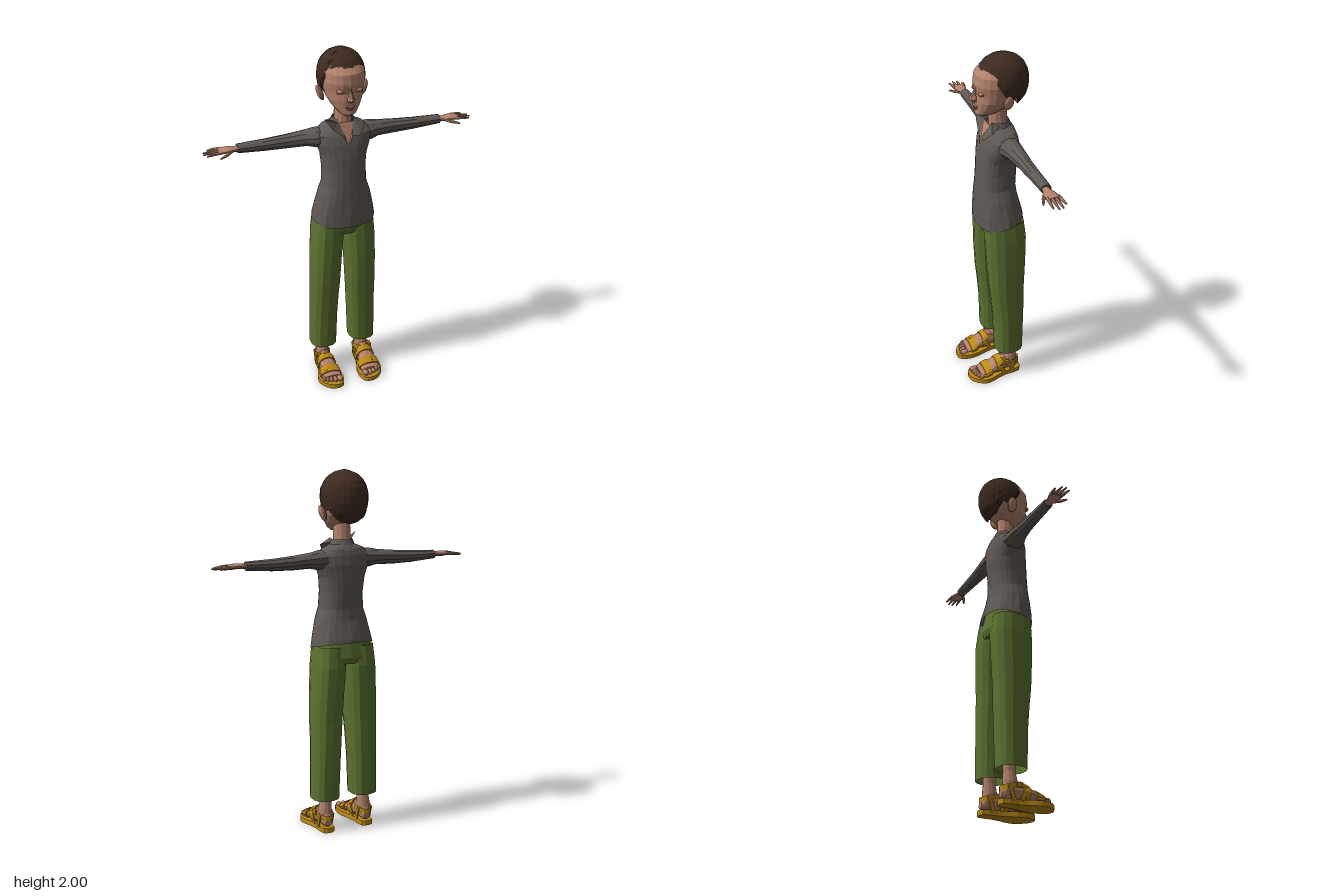
import * as THREE from 'three';

const mat = (name, color, side = THREE.FrontSide) => {
  const m = new THREE.MeshStandardMaterial({ color, side });
  m.name = name;
  return m;
};

// Faceted surface from a grid of points; zero-area triangles are dropped.
function grid(rows, cols, point) {
  const out = [], tri = new THREE.Triangle();
  const add = (a, b, c) => {
    if (tri.set(a, b, c).getArea() > 1e-9) for (const p of [a, b, c]) out.push(p.x, p.y, p.z);
  };
  for (let i = 0; i < rows; i++) for (let j = 0; j < cols; j++) {
    const a = point(i, j), b = point(i, j + 1), c = point(i + 1, j + 1), d = point(i + 1, j);
    add(a, b, c);
    add(a, c, d);
  }
  const g = new THREE.BufferGeometry();
  g.setAttribute('position', new THREE.Float32BufferAttribute(out, 3));
  g.computeVertexNormals();
  return g;
}

// Rounded cross-sections [t, centreU, centreV, radiusU, radiusV] along an axis.
// Axis y: u = z, v = x.  Axis x: u = y, v = z.  Axis z: u = x, v = y.
function loft(axis, sections, { sides = 12, power = 2, caps = true, tweak } = {}) {
  const s = [...sections];
  if (caps) {
    s.unshift([...s[0].slice(0, 3), 0, 0]);
    s.push([...s[s.length - 1].slice(0, 3), 0, 0]);
  }
  const bend = (v) => Math.sign(v) * Math.abs(v) ** (2 / power);
  return grid(s.length - 1, sides, (i, j) => {
    const [t, cu, cv, ru, rv] = s[i], a = ((j % sides) / sides) * Math.PI * 2;
    const u = cu + ru * bend(Math.cos(a)), v = cv + rv * bend(Math.sin(a));
    const p = axis === 'y' ? new THREE.Vector3(v, t, u)
      : axis === 'x' ? new THREE.Vector3(t, u, v) : new THREE.Vector3(u, v, t);
    if (tweak) tweak(p, a);
    return p;
  });
}

// Body section from front z, back z, centre x and half width.
const sec = (y, front, back, cx, rx) => [y, (front + back) / 2, cx, (front - back) / 2, rx];

// Linear lookup in rows sorted by their first number.
function lookup(rows, x) {
  let i = 0;
  while (i < rows.length - 2 && x > rows[i + 1][0]) i++;
  const a = rows[i], b = rows[i + 1], k = THREE.MathUtils.clamp((x - a[0]) / (b[0] - a[0]), 0, 1);
  return a.map((v, n) => v + (b[n] - v) * k);
}

const facet = (g) => {
  const f = g.index ? g.toNonIndexed() : g;
  f.computeVertexNormals();
  return f;
};

function mirrored(g) {
  const m = g.clone().scale(-1, 1, 1), p = m.attributes.position;
  for (let i = 0; i < p.count; i += 3) {
    const a = [p.getX(i), p.getY(i), p.getZ(i)];
    p.setXYZ(i, p.getX(i + 1), p.getY(i + 1), p.getZ(i + 1));
    p.setXYZ(i + 1, ...a);
  }
  m.computeVertexNormals();
  return m;
}

const blob = (x, y, z, rx, ry, rz, tilt = 0) =>
  facet(new THREE.SphereGeometry(1, 10, 7).scale(rx, ry, rz).rotateZ(tilt).translate(x, y, z));

// Fan of triangles through a few corner points.
const fan = (pts) => grid(pts.length - 2, 1, (i, j) =>
  new THREE.Vector3(...(i + j === 0 || j === 0 ? pts[0] : pts[i + 1])));

export function createModel() {
  const model = new THREE.Group();
  const skin = mat('skin', 0xb5836e, THREE.DoubleSide);
  const lip = mat('lip', 0x9e6a58);
  const hair = mat('hair', 0x3d2b20, THREE.DoubleSide);
  const cloth = mat('shirt cloth', 0x5f5954, THREE.DoubleSide);
  const green = mat('trouser cloth', 0x5b7230, THREE.DoubleSide);
  const leather = mat('sandal leather', 0xbd8a17, THREE.DoubleSide);

  const add = (name, g, m) => {
    const mesh = new THREE.Mesh(g, m);
    mesh.name = name;
    model.add(mesh);
  };
  const pair = (name, g, m) => {
    add(name + 'Left', g, m);
    add(name + 'Right', mirrored(g), m);
  };

  // Head and neck
  add('head', loft('y', [
    sec(1.672, 0.085, 0.02, 0, 0.022), sec(1.688, 0.102, -0.02, 0, 0.046),
    sec(1.72, 0.1, -0.07, 0, 0.073), sec(1.76, 0.102, -0.12, 0, 0.094),
    sec(1.8, 0.098, -0.14, 0, 0.104), sec(1.85, 0.106, -0.15, 0, 0.113),
    sec(1.9, 0.1, -0.15, 0, 0.109), sec(1.94, 0.064, -0.13, 0, 0.09),
    sec(1.97, 0, -0.1, 0, 0.04)], { sides: 20, power: 2.2 }), skin);
  add('neck', loft('y', [[1.56, -0.025, 0, 0.058, 0.058], [1.61, -0.023, 0, 0.051, 0.047],
    [1.72, -0.02, 0, 0.05, 0.045]]), skin);
  add('nose', loft('y', [[1.757, 0.1, 0, 0.012, 0.016], [1.771, 0.11, 0, 0.025, 0.021],
    [1.788, 0.108, 0, 0.018, 0.013], [1.815, 0.1, 0, 0.011, 0.009],
    [1.85, 0.1, 0, 0.006, 0.009]], { sides: 8 }), skin);
  add('upperLip', blob(0, 1.731, 0.1, 0.026, 0.006, 0.012), lip);
  add('lowerLip', blob(0, 1.72, 0.099, 0.021, 0.007, 0.012), lip);
  pair('eyelid', blob(0.048, 1.812, 0.085, 0.023, 0.013, 0.013), skin);
  pair('lashLine', blob(0.048, 1.806, 0.094, 0.021, 0.002, 0.005), lip);
  pair('ear', blob(0.119, 1.772, -0.035, 0.017, 0.045, 0.028, -0.35), skin);

  // Hair cap with a hairline that drops from the forehead to the nape
  const hairline = [[0, 1.93], [0.8, 1.915], [1.1, 1.86], [1.4, 1.79], [1.65, 1.78],
    [1.9, 1.8], [2.2, 1.73], [3.15, 1.715]];
  const swell = [[1.715, 0.5], [1.75, 0.78], [1.8, 0.95], [1.85, 1], [1.89, 0.97],
    [1.93, 0.87], [1.96, 0.7], [1.985, 0.43], [2, 0]];
  add('hair', grid(9, 24, (i, j) => {
    const a = (j / 24) * Math.PI * 2, turn = Math.min(a, Math.PI * 2 - a);
    const low = lookup(hairline, turn)[1];
    const y = i === 0 ? low + 0.004 : 2 - (2 - low) * (1 - (i - 1) / 8) ** 1.6;
    const r = lookup(swell, y)[1] * (i === 0 ? 0.88 : 1);
    return new THREE.Vector3(Math.sin(a) * r * 0.127, y,
      -0.052 + Math.cos(a) * r * (Math.cos(a) > 0 ? 0.146 : 0.136));
  }), hair);

  // Shirt body, with a pleated hem that rises towards the back
  add('shirtBody', loft('y', [
    sec(1.025, 0.106, -0.148, 0, 0.176), sec(1.1, 0.105, -0.146, 0, 0.167),
    sec(1.2, 0.1, -0.118, 0, 0.143), sec(1.26, 0.097, -0.11, 0, 0.122),
    sec(1.35, 0.092, -0.115, 0, 0.117), sec(1.43, 0.087, -0.122, 0, 0.125),
    sec(1.5, 0.075, -0.122, 0, 0.15), sec(1.55, 0.06, -0.115, 0, 0.155),
    sec(1.585, 0.04, -0.105, 0, 0.115), sec(1.61, 0.025, -0.085, 0, 0.055)],
  { sides: 24, power: 2.4, caps: false, tweak: (p, a) => {
    if (p.y > 1.15) return;
    const fold = 1 + 0.02 * Math.cos(8 * a);
    p.x *= fold;
    p.z *= fold;
    if (p.y < 1.05) p.y += (0.1 - p.z) * 0.23;
  } }), cloth);
  pair('sleeve', loft('x', [
    [0.08, 1.53, -0.035, 0.045, 0.065], [0.15, 1.525, -0.035, 0.053, 0.06],
    [0.2, 1.526, -0.042, 0.042, 0.05], [0.3, 1.52, -0.048, 0.038, 0.038],
    [0.42, 1.517, -0.05, 0.032, 0.033], [0.565, 1.52, -0.048, 0.024, 0.029]], { sides: 10 }), cloth);

  // Open neck, collar band and collar flaps, one of them turned up
  add('openNeck', fan([[0, 1.505, 0.077], [0.03, 1.56, 0.067], [0.045, 1.62, 0.036],
    [-0.045, 1.62, 0.036], [-0.03, 1.56, 0.067]]), skin);
  add('collarBand', grid(2, 14, (i, j) => {
    const a = 0.75 + (j / 14) * (Math.PI * 2 - 1.5);
    const [y, r] = [[1.575, 0.088], [1.605, 0.068], [1.632, 0.057]][i];
    return new THREE.Vector3(Math.sin(a) * r, y, -0.025 + Math.cos(a) * r);
  }), cloth);
  add('collarFlapLeft', fan([[0.042, 1.638, 0.025], [0.018, 1.555, 0.074], [0.065, 1.555, 0.082],
    [0.097, 1.598, 0.045], [0.06, 1.615, -0.01]]), cloth);
  add('collarFlapRight', fan([[-0.045, 1.62, 0.03], [-0.06, 1.618, -0.01], [-0.126, 1.66, 0.055],
    [-0.08, 1.595, 0.065], [-0.012, 1.545, 0.076]]), cloth);

  // Hands
  pair('palm', loft('x', [[0.545, 1.52, -0.046, 0.015, 0.019], [0.585, 1.521, -0.044, 0.014, 0.022],
    [0.62, 1.522, -0.043, 0.015, 0.035], [0.665, 1.521, -0.047, 0.01, 0.036]], { sides: 10 }), skin);
  [[-0.018, -0.012, 0.73], [-0.037, -0.037, 0.745], [-0.056, -0.06, 0.742], [-0.074, -0.086, 0.715]]
    .forEach(([z0, z1, tip], n) => pair('finger' + (n + 1), loft('x', [
      [0.645, 1.522, z0, 0.009, 0.01], [0.69, 1.52, (z0 + z1) / 2, 0.008, 0.008],
      [tip, 1.514, z1, 0.004, 0.004]], { sides: 6 }), skin));
  pair('thumb', loft('x', [[0.595, 1.518, -0.03, 0.011, 0.014], [0.625, 1.51, -0.008, 0.01, 0.011],
    [0.665, 1.502, 0.01, 0.005, 0.005]], { sides: 6 }), skin);

  // Trousers
  add('trouserSeat', loft('y', [sec(0.965, 0.07, -0.135, 0, 0.1), sec(1.0, 0.082, -0.145, 0, 0.165),
    sec(1.12, 0.085, -0.12, 0, 0.148)], { sides: 16, power: 2.4 }), green);
  pair('trouserLeg', loft('y', [
    sec(0.193, 0.036, -0.125, 0.118, 0.077), sec(0.4, 0.042, -0.13, 0.113, 0.079),
    sec(0.55, 0.056, -0.134, 0.108, 0.081), sec(0.64, 0.067, -0.134, 0.105, 0.084),
    sec(0.8, 0.077, -0.142, 0.099, 0.086), sec(0.95, 0.082, -0.147, 0.09, 0.088),
    sec(1.06, 0.08, -0.135, 0.086, 0.08)], { sides: 14, power: 2.5, caps: false }), green);

  // Feet
  const cx = 0.121;
  const foot = [[-0.105, cx, 0.06, 0.018, 0.02], [-0.085, cx, 0.075, 0.032, 0.045],
    [-0.04, cx, 0.085, 0.036, 0.055], [0, cx, 0.08, 0.04, 0.05], [0.05, cx, 0.068, 0.05, 0.038],
    [0.1, cx, 0.051, 0.058, 0.023], [0.14, cx, 0.045, 0.056, 0.015]];
  pair('foot', loft('z', foot), skin);
  pair('ankle', loft('y', [[0.07, -0.05, cx, 0.044, 0.037], [0.13, -0.052, cx, 0.04, 0.037],
    [0.18, -0.056, cx - 0.003, 0.033, 0.031], [0.3, -0.055, cx - 0.003, 0.037, 0.036]]), skin);
  [[-0.041, 0.16, 0.017, 0.027], [-0.013, 0.159, 0.012, 0.024], [0.01, 0.153, 0.011, 0.022],
    [0.03, 0.145, 0.01, 0.02], [0.047, 0.135, 0.009, 0.018]].forEach(([dx, z, r, len], n) =>
    pair('toe' + (n + 1), blob(cx + dx, 0.043, z, r, 0.014, len), skin));

  // Sandals: sole, cross straps, heel strap, side straps and buckles
  const outline = new THREE.Shape();
  outline.moveTo(0, -0.115);
  outline.splineThru([[0.035, -0.1], [0.043, 0], [0.07, 0.08], [0.068, 0.13], [0.03, 0.182],
    [-0.02, 0.198], [-0.06, 0.178], [-0.072, 0.1], [-0.045, 0], [-0.035, -0.1], [0, -0.115]]
    .map(([x, z]) => new THREE.Vector2(x, z)));
  pair('sole', facet(new THREE.ExtrudeGeometry(outline, { depth: 0.028, bevelEnabled: false, curveSegments: 2 })
    .rotateX(Math.PI / 2).translate(cx, 0.032, 0)), leather);
  const wrap = (z) => {
    const [t, x, y, rx, ry] = lookup(foot, z);
    return [t, x, y, rx + 0.008, ry + 0.007];
  };
  pair('toeStrap', loft('z', [wrap(0.075), wrap(0.115)], { sides: 14 }), leather);
  pair('instepStrap', loft('z', [wrap(0.005), wrap(0.04)], { sides: 14 }), leather);
  pair('heelStrap', loft('y', [[0.088, -0.047, cx, 0.062, 0.045], [0.115, -0.047, cx, 0.062, 0.045]],
    { sides: 14, caps: false, tweak: (p) => { p.y += (p.z + 0.05) * 0.25; } }), leather);
  for (const [side, w] of [['outer', 1], ['inner', -1]]) {
    const strap = (name, len, y, z, dx, tilt) => pair(side + name, facet(
      new THREE.BoxGeometry(0.007, len, 0.022).rotateX(tilt).translate(cx + w * dx, y, z)), leather);
    strap('HeelStay', 0.08, 0.065, -0.06, 0.041, -0.3);
    strap('InstepStay', 0.075, 0.062, 0.008, 0.045, 0.35);
  }
  pair('buckle', facet(new THREE.BoxGeometry(0.012, 0.026, 0.03).translate(cx + 0.047, 0.105, -0.02)), leather);
  pair('toeBuckle', facet(new THREE.BoxGeometry(0.028, 0.012, 0.03)
    .rotateX(0.35).rotateZ(-0.4).translate(cx + 0.03, 0.077, 0.09)), leather);

  return model;
}
